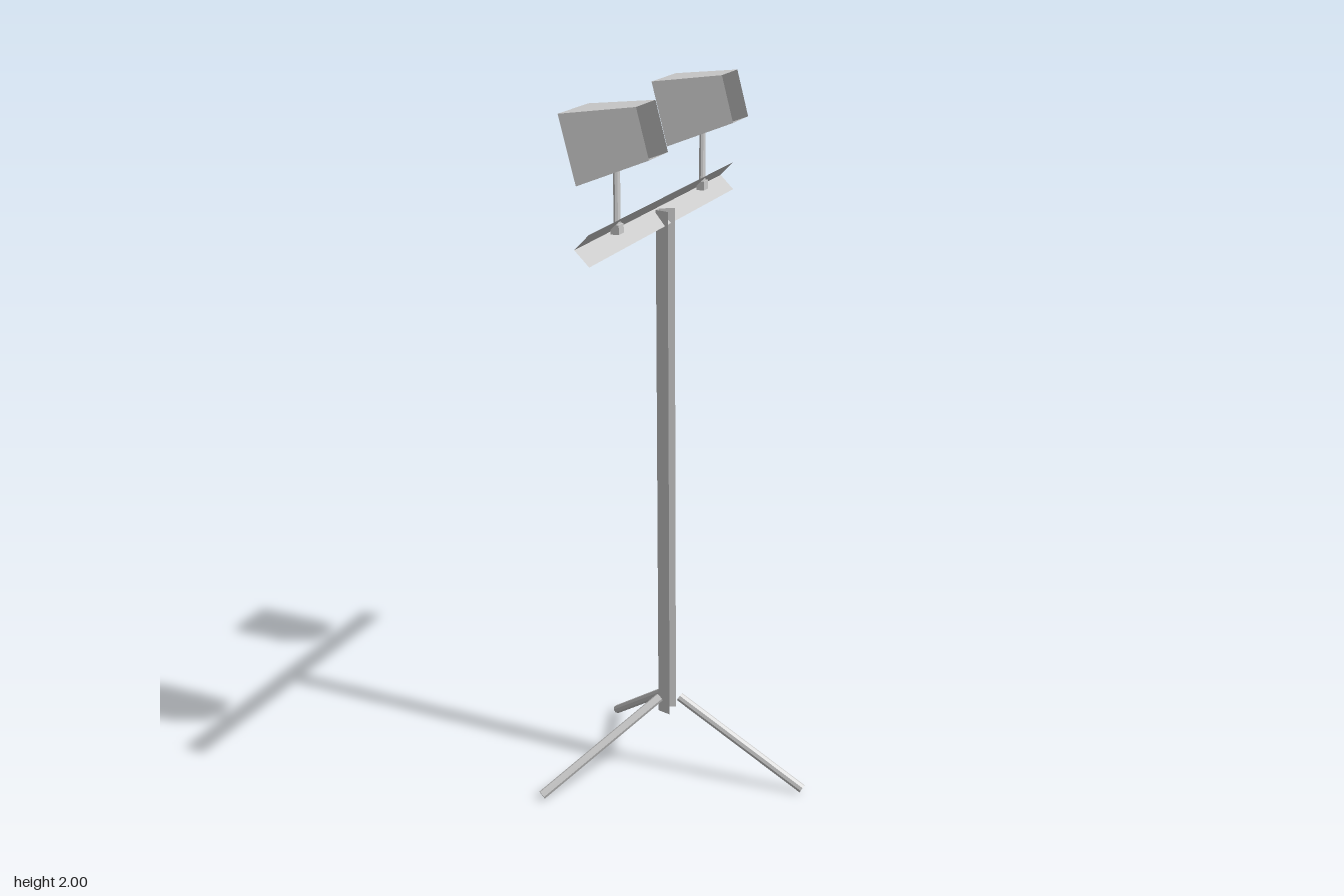
import * as THREE from 'three';

const material = new THREE.MeshStandardMaterial({ color: 0xcccccc, flatShading: true, side: THREE.DoubleSide });

function add(parent, name, geometry) {
  const mesh = new THREE.Mesh(geometry, material);
  mesh.name = name;
  parent.add(mesh);
  return mesh;
}

// Thin sheet spanning two matching outlines of [x, y, z] points
function sheet(a, b, closed = false) {
  const points = [];
  const count = closed ? a.length : a.length - 1;
  for (let i = 0; i < count; i++) {
    const j = (i + 1) % a.length;
    points.push(...a[i], ...a[j], ...b[j], ...a[i], ...b[j], ...b[i]);
  }
  const geometry = new THREE.BufferGeometry();
  geometry.setAttribute('position', new THREE.Float32BufferAttribute(points, 3));
  geometry.computeVertexNormals();
  return geometry;
}

// Round bar between two points
function rod(from, to, radius) {
  const a = new THREE.Vector3(...from), b = new THREE.Vector3(...to);
  const dir = b.clone().sub(a);
  const geometry = new THREE.CylinderGeometry(radius, radius, dir.length(), 8);
  geometry.applyQuaternion(new THREE.Quaternion().setFromUnitVectors(new THREE.Vector3(0, 1, 0), dir.normalize()));
  const mid = a.add(b).multiplyScalar(0.5);
  return geometry.translate(mid.x, mid.y, mid.z);
}

// Rectangular section of the lamp hood, t = 0 at the wide end, 1 at the narrow end
function hoodSection(t) {
  const mix = THREE.MathUtils.lerp;
  const top = [mix(-0.115, 0.08, t), mix(1.977, 1.999, t)];
  const bottom = [mix(-0.07, 0.113, t), mix(1.8, 1.87, t)];
  const h = mix(0.097, 0.067, t);
  return [[...top, h], [...top, -h], [...bottom, -h], [...bottom, h]];
}

function createLamp(name, z) {
  const lamp = new THREE.Group();
  lamp.name = name;
  lamp.position.z = z;
  // Hood open at both ends with a panel set inside
  add(lamp, 'hood', sheet(hoodSection(0), hoodSection(1), true));
  const [a, b, c, d] = hoodSection(0.3);
  add(lamp, 'lampPanel', sheet([a, b], [d, c]));
  // Post and its foot in the crossbar
  const post = rod([0, 1.67, 0], [0, 1.83, 0], 0.013);
  post.scale(0.65, 1, 1);
  add(lamp, 'lampPost', post);
  const foot = new THREE.BoxGeometry(0.022, 0.025, 0.034);
  add(lamp, 'postFoot', foot.translate(0, 1.68, 0));
  return lamp;
}

export function createModel() {
  const model = new THREE.Group();
  model.name = 'twinLampStand';

  // Pole: folded channel opening toward +x
  const channel = [[-0.053, -0.028], [-0.093, -0.012], [-0.093, 0.012], [-0.053, 0.028]];
  add(model, 'pole', sheet(channel.map(([x, z]) => [x, 0.19, z]), channel.map(([x, z]) => [x, 1.67, z])));

  // Three splayed legs
  add(model, 'legSide', rod([-0.032, 0.238, 0], [0.347, 0.012, 0.015], 0.013));
  add(model, 'legBack', rod([-0.085, 0.238, -0.022], [-0.342, 0.012, -0.294], 0.013));
  add(model, 'legFront', rod([-0.085, 0.238, 0.022], [-0.346, 0.012, 0.294], 0.013));

  // Crossbar and lamps, turned slightly on the pole
  const head = new THREE.Group();
  head.name = 'head';
  head.position.x = -0.08;
  head.rotation.y = -0.012;
  model.add(head);

  const angle = [[0.018, 1.71], [-0.021, 1.67], [0.018, 1.63]];
  add(head, 'crossbar', sheet(angle.map(([x, y]) => [x, y, -0.55]), angle.map(([x, y]) => [x, y, 0.55])));
  head.add(createLamp('frontLamp', 0.321), createLamp('backLamp', -0.327));

  return model;
}
